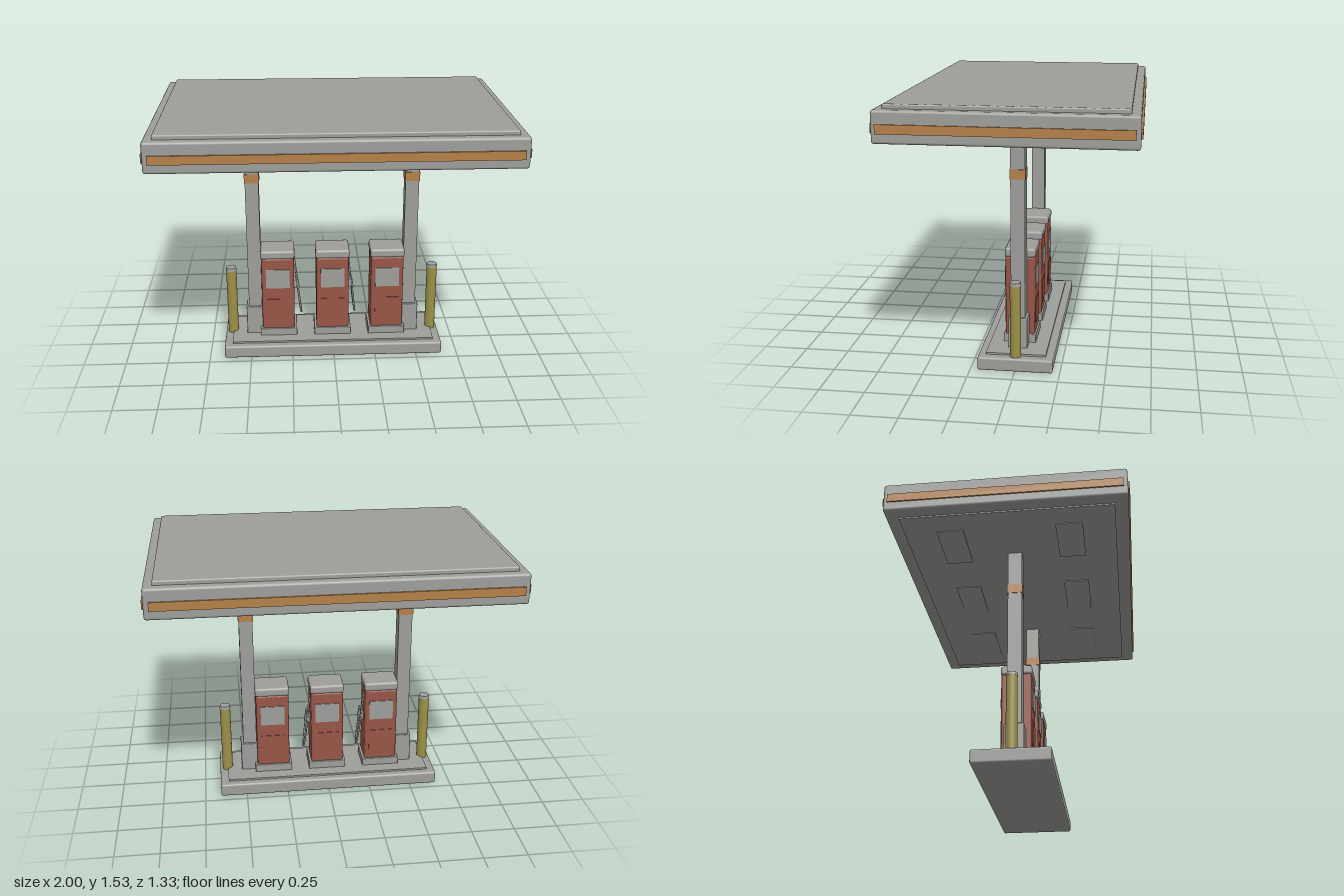
import * as THREE from 'three';
import { RoundedBoxGeometry } from 'three/addons/geometries/RoundedBoxGeometry.js';

const mat = (name, color) => Object.assign(new THREE.MeshStandardMaterial({ color }), { name });

export function createModel() {
  const grey = mat('concreteGrey', 0x9e9e9b);
  const red = mat('pumpRed', 0x985647);
  const orange = mat('trimOrange', 0xb58049);
  const yellow = mat('bollardYellow', 0x9c9148);

  const root = new THREE.Group();
  root.name = 'fuelStation';
  const model = new THREE.Group();
  model.name = 'station';
  model.position.x = -0.003;
  root.add(model);

  const add = (parent, name, geometry, material, x, y, z) => {
    const mesh = new THREE.Mesh(geometry, material);
    mesh.name = name;
    mesh.position.set(x, y, z);
    parent.add(mesh);
    return mesh;
  };
  // Box given by its centre in x and z and its bottom and top in y; r rounds the edges
  const box = (parent, name, material, x, z, w, d, y0, y1, r = 0) => add(parent, name,
    r ? new RoundedBoxGeometry(w, y1 - y0, d, 2, r) : new THREE.BoxGeometry(w, y1 - y0, d),
    material, x, (y0 + y1) / 2, z);

  // Island
  box(model, 'islandBase', grey, 0, 0, 1.316, 0.42, 0, 0.077, 0.012);
  box(model, 'islandDeck', grey, 0, 0, 1.22, 0.336, 0.07, 0.088);

  // Canopy with roof slab, trim bands and ceiling
  const canopy = new THREE.Group();
  canopy.name = 'canopy';
  model.add(canopy);
  box(canopy, 'canopyBody', grey, 0, 0, 1.984, 1.316, 1.333, 1.502, 0.014);
  box(canopy, 'roofSlab', grey, 0, 0, 1.885, 1.22, 1.495, 1.526, 0.008);
  box(canopy, 'ceiling', grey, 0, 0, 1.835, 1.17, 1.325, 1.34);
  for (const s of [-1, 1]) {
    box(canopy, 'longTrim', orange, 0, s * 0.6625, 1.93, 0.0095, 1.385, 1.433);
    box(canopy, 'endTrim', orange, s * 0.9955, 0, 0.0095, 1.27, 1.385, 1.433);
    for (const x of [-0.61, 0, 0.61])
      box(canopy, 'ceilingLight', grey, x, s * 0.33, 0.33, 0.15, 1.32, 1.328);
  }

  // Columns and bollards
  for (const s of [-1, 1]) {
    box(model, 'column', grey, s * 0.47, 0, 0.08, 0.08, 0.08, 1.335);
    box(model, 'columnFoot', grey, s * 0.47, 0, 0.11, 0.108, 0.08, 0.265, 0.005);
    box(model, 'columnBand', orange, s * 0.47, 0, 0.087, 0.087, 1.06, 1.115);
    add(model, 'bollard', new THREE.CylinderGeometry(0.031, 0.031, 0.42, 20), yellow, s * 0.612, 0.283, 0);
    add(model, 'bollardCap', new THREE.CylinderGeometry(0.03, 0.033, 0.018, 20), grey, s * 0.612, 0.502, 0);
  }

  // Hose looping down beside a pump and back up to its nozzle
  const hose = new THREE.CatmullRomCurve3([
    [0.098, 0.57, -0.022], [0.108, 0.48, -0.026], [0.122, 0.34, -0.026], [0.137, 0.22, -0.016],
    [0.14, 0.2, 0], [0.137, 0.22, 0.016], [0.128, 0.31, 0.022], [0.119, 0.39, 0.018],
  ].map(p => new THREE.Vector3(...p)));

  // Three pumps
  [-0.33, 0, 0.33].forEach((x, i) => {
    const pump = new THREE.Group();
    pump.name = 'pump';
    pump.position.x = x;
    model.add(pump);
    box(pump, 'pumpPlinth', grey, 0, 0, 0.224, 0.186, 0.085, 0.134, 0.005);
    box(pump, 'pumpBody', red, 0, 0, 0.196, 0.168, 0.125, 0.598, 0.014);
    box(pump, 'pumpCap', grey, 0, 0, 0.204, 0.174, 0.592, 0.645, 0.014);
    for (const s of [-1, 1]) {
      box(pump, 'display', grey, 0, s * 0.085, 0.143, 0.007, 0.404, 0.526);
      box(pump, 'servicePanel', red, 0, s * 0.084, 0.143, 0.007, 0.19, 0.33);
    }
    box(pump, 'nozzleHolder', grey, 0.106, 0.005, 0.02, 0.07, 0.38, 0.435);
    if (i < 2) {
      add(pump, 'hose', new THREE.TubeGeometry(hose, 32, 0.006, 8), grey, 0, 0, 0);
      const nozzle = box(pump, 'nozzle', grey, 0.119, 0.018, 0.014, 0.02, 0.37, 0.45, 0.004);
      nozzle.rotation.z = 0.15;
    }
  });

  return root;
}
